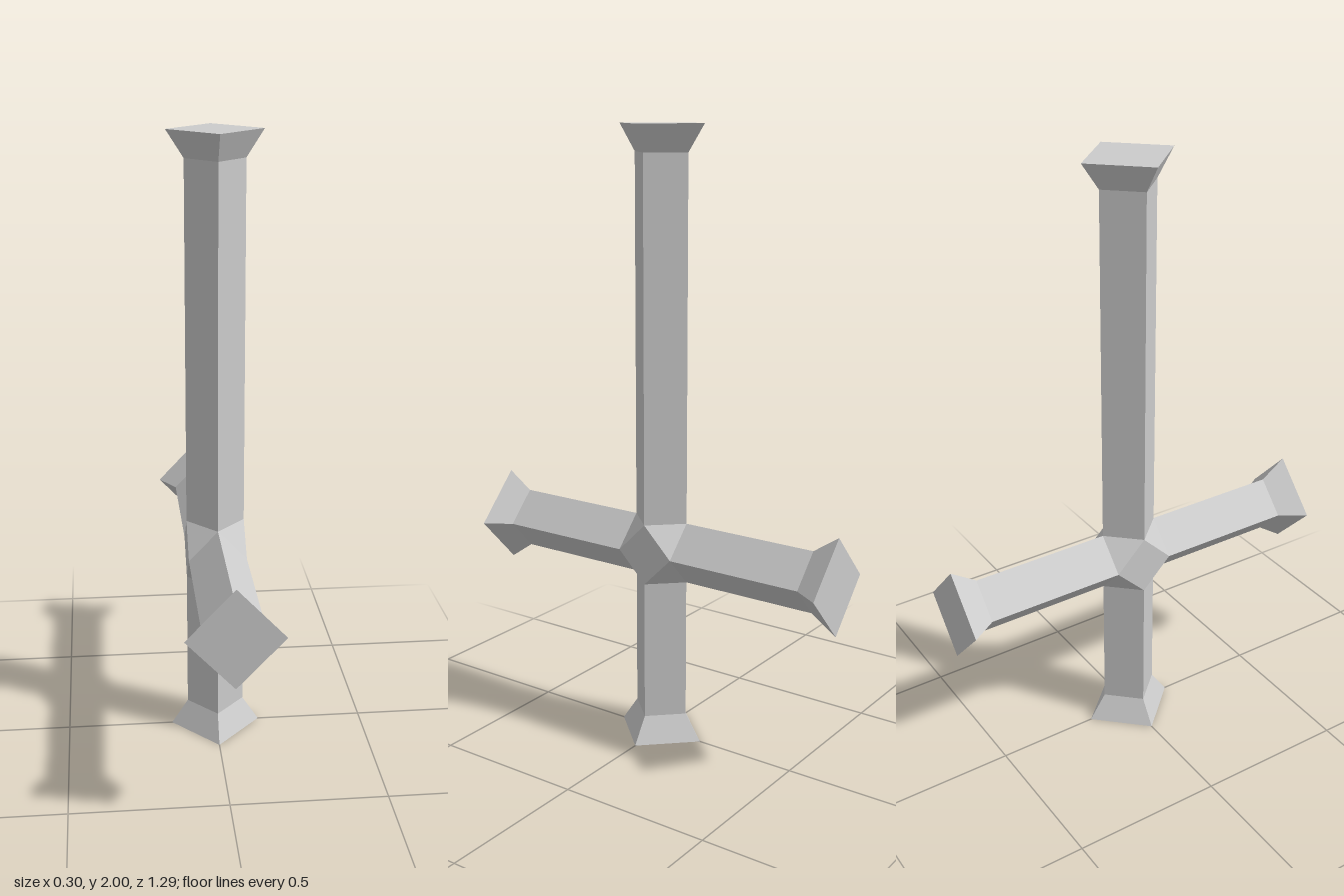
import * as THREE from 'three';
import { ConvexGeometry } from 'three/addons/geometries/ConvexGeometry.js';

const R = 0.1;        // half diagonal of the bars, in y and z
const FLARE = 0.158;  // half diagonal of the flared ends
const TAPER = 0.085;  // length of each flare
const SQUASH = 0.94;  // bars are a little narrower in x
const CROSS_Y = 0.65; // height of the crossing

// Four-sided bar along y, with a flare and flat cap at both ends
function flaredBar(length) {
  const h = length / 2;
  const profile = [
    [0, -h], [FLARE, -h], [R, -h + TAPER],
    [R, h - TAPER], [FLARE, h], [0, h],
  ].map(([r, y]) => new THREE.Vector2(r, y));
  const geometry = new THREE.LatheGeometry(profile, 4).toNonIndexed();
  geometry.scale(SQUASH, 1, 1);
  geometry.computeVertexNormals();
  return geometry;
}

// Faceted block filling the corners where the bars cross
function hubGeometry() {
  const points = [];
  for (const a of [-R, R]) {
    for (const b of [-R, R]) {
      points.push(
        new THREE.Vector3(a * SQUASH, b, 0),
        new THREE.Vector3(a * SQUASH, 0, b),
        new THREE.Vector3(0, a, b),
      );
    }
  }
  return new ConvexGeometry(points);
}

export function createModel() {
  const group = new THREE.Group();
  const grey = new THREE.MeshStandardMaterial({ color: 0xcccccc, flatShading: true });
  grey.name = 'light grey';

  const add = (name, geometry, y) => {
    const mesh = new THREE.Mesh(geometry, grey);
    mesh.name = name;
    mesh.position.y = y;
    group.add(mesh);
  };

  // Upright post, crossbar running front to back, and the hub joining them
  add('post', flaredBar(2), 1);
  add('crossbar', flaredBar(1.295).rotateX(Math.PI / 2), CROSS_Y);
  add('hub', hubGeometry(), CROSS_Y);

  return group;
}
